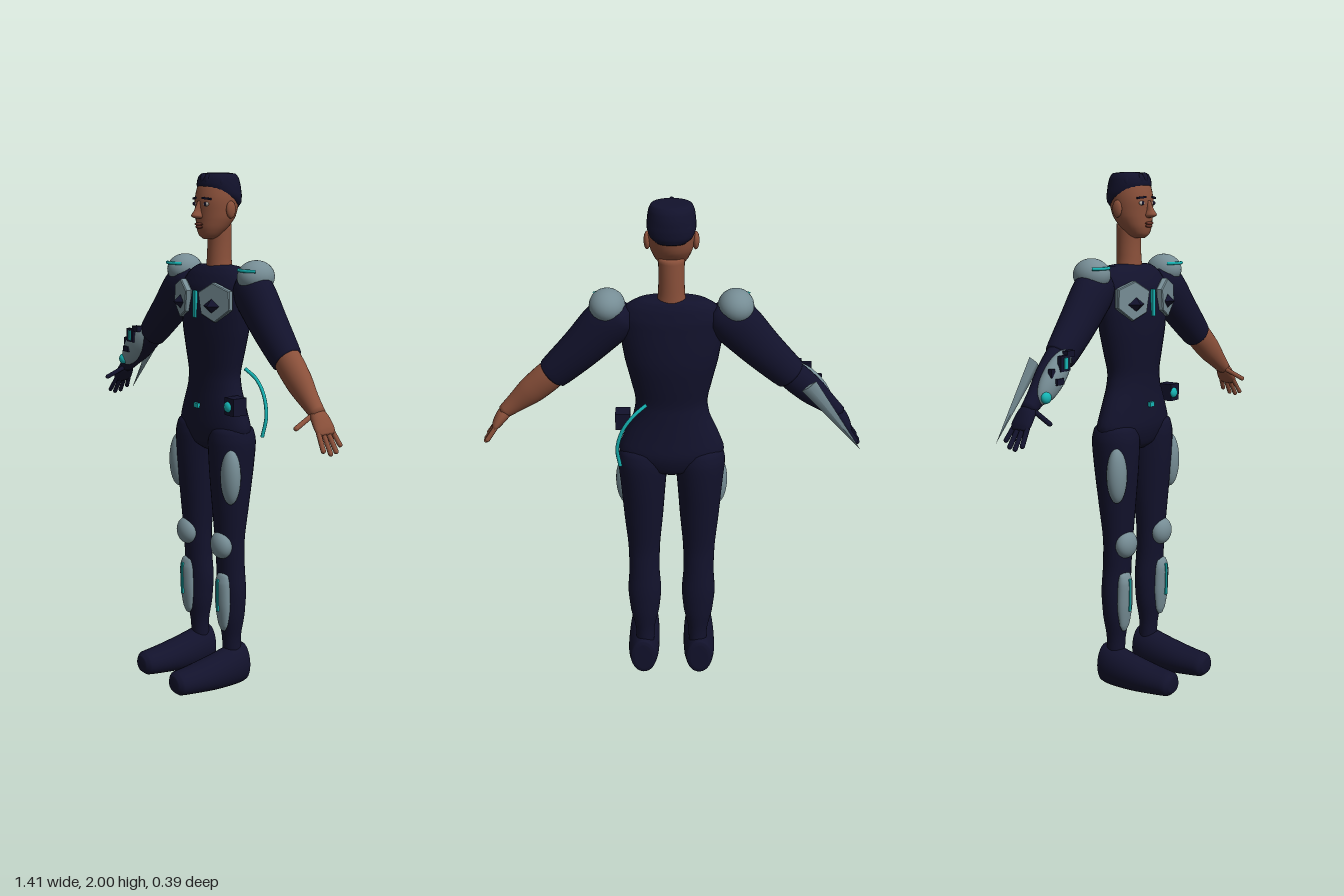
import * as THREE from 'three';

const mat = (name, color) => {
  const m = new THREE.MeshStandardMaterial({ color });
  m.name = name;
  return m;
};
const V = (x, y, z) => new THREE.Vector3(x, y, z);

export function createModel() {
  const root = new THREE.Group();
  root.name = 'armouredFigure';
  const suit = mat('navySuit', 0x12122c), armour = mat('greyArmour', 0x768d95);
  const skin = mat('skin', 0x8a503a), glow = mat('tealTrim', 0x16b5b5);
  const lip = mat('lips', 0x6a3428), white = mat('eyeWhite', 0xb5aca4);

  const add = (name, geo, m) => {
    const mesh = new THREE.Mesh(geo, m);
    mesh.name = name;
    root.add(mesh);
    return mesh;
  };
  const ball = (name, m, p, r) => {
    const b = add(name, new THREE.SphereGeometry(1, 24, 16), m);
    b.position.set(...p);
    b.scale.set(...r);
    return b;
  };
  const box = (name, m, p, size) => {
    const b = add(name, new THREE.BoxGeometry(...size), m);
    b.position.set(...p);
    return b;
  };
  const rod = (name, m, a, b, r) => {
    const d = b.clone().sub(a);
    const c = add(name, new THREE.CapsuleGeometry(r, d.length() - r, 5, 10), m);
    c.position.copy(a).lerp(b, 0.5);
    c.quaternion.setFromUnitVectors(V(0, 1, 0), d.normalize());
    return c;
  };

  // Smooth closed skin over elliptical rows [x, y, z, radiusU, radiusV] stacked along t
  const loft = (name, m, rows, t, u, sub = 4, n = 28) => {
    t.normalize();
    const v = t.clone().cross(u), pos = [], idx = [];
    const centre = new THREE.CatmullRomCurve3(rows.map(r => V(r[0], r[1], r[2])));
    const radius = new THREE.CatmullRomCurve3(rows.map(r => V(r[3], r[4], 0)));
    const k = (rows.length - 1) * sub;
    for (let i = 0; i <= k; i++) {
      const c = centre.getPoint(i / k), r = radius.getPoint(i / k);
      for (let j = 0; j < n; j++) {
        const a = j / n * Math.PI * 2;
        const p = c.clone().addScaledVector(u, Math.cos(a) * r.x).addScaledVector(v, Math.sin(a) * r.y);
        pos.push(p.x, p.y, p.z);
        if (i < k) {
          const A = i * n + j, B = i * n + (j + 1) % n;
          idx.push(A, B, B + n, A, B + n, A + n);
        }
      }
    }
    const lo = pos.length / 3;
    for (const r of [rows[0], rows[rows.length - 1]]) pos.push(r[0], r[1], r[2]);
    for (let j = 0; j < n; j++) {
      const q = (j + 1) % n;
      idx.push(lo, q, j, lo + 1, k * n + j, k * n + q);
    }
    const g = new THREE.BufferGeometry();
    g.setAttribute('position', new THREE.Float32BufferAttribute(pos, 3));
    g.setIndex(idx);
    g.computeVertexNormals();
    return add(name, g, m);
  };
  // Upright loft from rows [y, z, radiusX, radiusZ] at a given x
  const column = (name, m, rows, x = 0) =>
    loft(name, m, rows.map(r => [x, ...r]), V(0, 1, 0), V(1, 0, 0));

  // Body, neck and head
  column('torso', suit, [[0.955, -0.09, 0.06, 0.04], [0.98, -0.09, 0.135, 0.07], [1.05, -0.09, 0.197, 0.088],
    [1.12, -0.088, 0.175, 0.083], [1.2, -0.087, 0.14, 0.077], [1.25, -0.086, 0.132, 0.076], [1.33, -0.088, 0.147, 0.086],
    [1.42, -0.09, 0.168, 0.095], [1.5, -0.09, 0.18, 0.094], [1.58, -0.093, 0.185, 0.086], [1.63, -0.1, 0.16, 0.068],
    [1.657, -0.105, 0.115, 0.05], [1.662, -0.105, 0.05, 0.035]]);
  column('neck', skin, [[1.63, -0.105, 0.055, 0.05], [1.68, -0.106, 0.047, 0.047], [1.74, -0.107, 0.045, 0.046],
    [1.81, -0.105, 0.046, 0.047]]);
  column('head', skin, [[1.757, -0.062, 0.018, 0.025], [1.77, -0.062, 0.04, 0.04], [1.8, -0.074, 0.06, 0.06],
    [1.84, -0.088, 0.075, 0.075], [1.9, -0.094, 0.081, 0.083], [1.95, -0.098, 0.075, 0.076], [1.98, -0.1, 0.05, 0.05]]);
  column('hair', suit, [[1.872, -0.142, 0.05, 0.035], [1.89, -0.134, 0.072, 0.05], [1.92, -0.112, 0.084, 0.074],
    [1.95, -0.102, 0.082, 0.081], [1.975, -0.1, 0.078, 0.076], [1.993, -0.1, 0.068, 0.062], [1.997, -0.1, 0.04, 0.035]]);
  for (let i = -3; i <= 3; i++) {
    ball('hairTuft', suit, [i * 0.02, 1.972 - Math.abs(i) * 0.004, -0.034 - i * i * 0.004], [0.014, 0.024, 0.014]);
  }

  // Face
  column('nose', skin, [[1.832, -0.012, 0.012, 0.012], [1.842, -0.006, 0.019, 0.026], [1.86, -0.01, 0.012, 0.019],
    [1.895, -0.018, 0.008, 0.01]]);
  ball('upperLip', lip, [0, 1.812, -0.011], [0.024, 0.006, 0.008]);
  ball('lowerLip', lip, [0, 1.802, -0.013], [0.02, 0.006, 0.008]);

  for (const s of [1, -1]) {
    const side = s > 0 ? 'left' : 'right';
    const P = (x, y, z) => V(s * x, y, z);
    ball(side + 'Ear', skin, [s * 0.083, 1.865, -0.097], [0.012, 0.032, 0.02]);
    ball(side + 'Eye', white, [s * 0.034, 1.885, -0.02], [0.016, 0.008, 0.006]);
    ball(side + 'Iris', suit, [s * 0.034, 1.885, -0.0155], [0.007, 0.007, 0.003]);
    const brow = box(side + 'Brow', suit, [s * 0.037, 1.905, -0.02], [0.038, 0.007, 0.009]);
    brow.rotation.set(0, s * 0.35, -s * 0.1);

    // Legs and shoes
    column(side + 'Leg', suit, [[0.1, -0.1, 0.035, 0.035], [0.2, -0.095, 0.038, 0.037], [0.3, -0.093, 0.058, 0.05],
      [0.4, -0.093, 0.066, 0.053], [0.5, -0.088, 0.06, 0.053], [0.6, -0.083, 0.062, 0.055], [0.75, -0.085, 0.075, 0.07],
      [0.9, -0.088, 0.086, 0.086], [1.0, -0.09, 0.094, 0.09], [1.05, -0.09, 0.085, 0.08], [1.08, -0.09, 0.04, 0.04]], s * 0.108);
    loft(side + 'Shoe', suit, [[0.115, 0.088, -0.152, 0.035, 0.06], [0.115, 0.087, -0.146, 0.052, 0.08],
      [0.115, 0.085, -0.1, 0.062, 0.083], [0.115, 0.076, 0, 0.064, 0.07], [0.115, 0.073, 0.1, 0.06, 0.055],
      [0.115, 0.074, 0.17, 0.052, 0.046], [0.115, 0.075, 0.19, 0.03, 0.03]].map(r => [s * r[0], ...r.slice(1)]),
    V(0, 0, 1), V(1, 0, 0));

    // Leg armour
    ball(side + 'ThighPad', armour, [s * 0.172, 0.88, -0.037], [0.043, 0.108, 0.036]);
    ball(side + 'KneePad', armour, [s * 0.115, 0.597, -0.037], [0.052, 0.054, 0.037]);
    column(side + 'ShinGuard', armour, [[0.245, -0.045, 0.012, 0.006], [0.27, -0.044, 0.026, 0.014], [0.36, -0.042, 0.038, 0.024],
      [0.44, -0.04, 0.036, 0.024], [0.475, -0.042, 0.028, 0.014], [0.483, -0.044, 0.012, 0.006]], s * 0.12);
    box(side + 'ShinLight', glow, [s * 0.12, 0.395, -0.017], [0.01, 0.13, 0.009]);

    // Arm: sleeve, forearm and hand
    const limb = (name, m, rows) => {
      const a = rows[0], b = rows[rows.length - 1];
      loft(side + name, m, rows.map(r => [s * r[0], ...r.slice(1)]),
        V(s * (b[0] - a[0]), b[1] - a[1], 0), V(0, 0, 1));
    };
    const lower = s > 0 ? skin : suit;
    limb('UpperArm', suit, [[0.15, 1.62, -0.105, 0.03, 0.03], [0.18, 1.6, -0.105, 0.06, 0.07], [0.23, 1.56, -0.1, 0.068, 0.087],
      [0.33, 1.455, -0.093, 0.064, 0.075], [0.43, 1.358, -0.086, 0.053, 0.061], [0.437, 1.352, -0.086, 0.045, 0.05]]);
    limb('Forearm', lower, [[0.4, 1.39, -0.088, 0.042, 0.048], [0.45, 1.342, -0.083, 0.047, 0.055], [0.51, 1.288, -0.078, 0.043, 0.052],
      [0.57, 1.235, -0.073, 0.033, 0.038], [0.62, 1.193, -0.071, 0.028, 0.026]]);
    limb('Palm', lower, [[0.602, 1.21, -0.071, 0.022, 0.02], [0.625, 1.183, -0.072, 0.036, 0.024],
      [0.65, 1.148, -0.074, 0.042, 0.018], [0.662, 1.13, -0.074, 0.034, 0.01]]);
    for (let i = 0; i < 4; i++) {
      const k = i - 1.5, tip = 1.07 + [0.012, 0, 0.004, 0.022][i];
      rod(side + 'Finger', lower, P(0.65, 1.145, -0.074 - k * 0.02),
        P(0.7 - (tip - 1.07) * 0.6, tip, -0.074 - k * 0.027), 0.0088);
    }
    rod(side + 'Thumb', lower, P(0.607, 1.19, -0.05), P(0.616, 1.155, 0.028), 0.009);

    // Shoulder armour with light strip
    ball(side + 'ShoulderPad', armour, [s * 0.225, 1.63, -0.105], [0.064, 0.06, 0.072]);
    const strip = new THREE.TorusGeometry(0.062, 0.006, 8, 20, 1.75);
    strip.rotateZ(Math.PI / 2 - 0.875).rotateX(Math.PI / 2);
    add(side + 'ShoulderLight', strip, glow).position.set(s * 0.23, 1.655, -0.1);

    // Hexagonal chest plate with pointed stud
    const hex = [[-0.068, 0.035], [-0.005, 0.072], [0.068, 0.045], [0.07, -0.02], [0.005, -0.067], [-0.055, -0.04]];
    const plate = new THREE.ExtrudeGeometry(new THREE.Shape(hex.map(p => new THREE.Vector2(s * p[0], p[1]))),
      { depth: 0.018, bevelEnabled: true, bevelSize: 0.003, bevelThickness: 0.004, bevelSegments: 1 });
    const p = add(side + 'ChestPlate', plate, armour);
    p.position.set(s * 0.1, 1.53, -0.021);
    p.rotation.y = s * 0.3;
    const stud = add(side + 'ChestStud', new THREE.OctahedronGeometry(1), suit);
    stud.position.set(s * 0.1, 1.52, 0.003);
    stud.scale.set(0.036, 0.026, 0.028);
    stud.rotation.y = s * 0.3;
  }
  box('chestLight', glow, [0, 1.52, 0.006], [0.017, 0.1, 0.012]);

  // Belt buckle, hip pouch and hose
  box('buckle', glow, [0, 1.133, -0.002], [0.028, 0.018, 0.012]);
  box('hipPouch', suit, [0.182, 1.153, -0.05], [0.055, 0.066, 0.06]);
  ball('pouchLight', glow, [0.174, 1.152, -0.02], [0.02, 0.02, 0.012]);
  const hose = new THREE.CatmullRomCurve3([V(0.09, 1.27, -0.165), V(0.135, 1.235, -0.183), V(0.175, 1.18, -0.188),
    V(0.198, 1.1, -0.184), V(0.19, 1.02, -0.172)]);
  add('hose', new THREE.TubeGeometry(hose, 32, 0.007, 8), glow);

  // Right forearm bracer with controls
  ball('bracer', armour, [-0.508, 1.298, -0.047], [0.115, 0.048, 0.036]).rotation.z = 0.82;
  box('bracerScreenFrame', suit, [-0.488, 1.345, -0.018], [0.05, 0.055, 0.016]);
  box('bracerScreen', glow, [-0.488, 1.345, -0.009], [0.018, 0.04, 0.006]);
  box('bracerSwitch', suit, [-0.455, 1.375, -0.024], [0.04, 0.022, 0.024]);
  box('bracerSwitch', suit, [-0.52, 1.285, -0.014], [0.036, 0.022, 0.016]);
  box('bracerSwitch', suit, [-0.542, 1.315, -0.028], [0.02, 0.03, 0.016]);
  ball('bracerLight', glow, [-0.572, 1.235, -0.028], [0.021, 0.021, 0.016]);

  // Tapered blade behind the right forearm
  const blade = add('armBlade', new THREE.ConeGeometry(0.032, 0.33, 4), armour);
  blade.scale.z = 0.32;
  blade.position.set(-0.595, 1.21, -0.15);
  blade.rotation.z = Math.atan2(-0.26, -0.205) - Math.PI / 2;
  return root;
}
